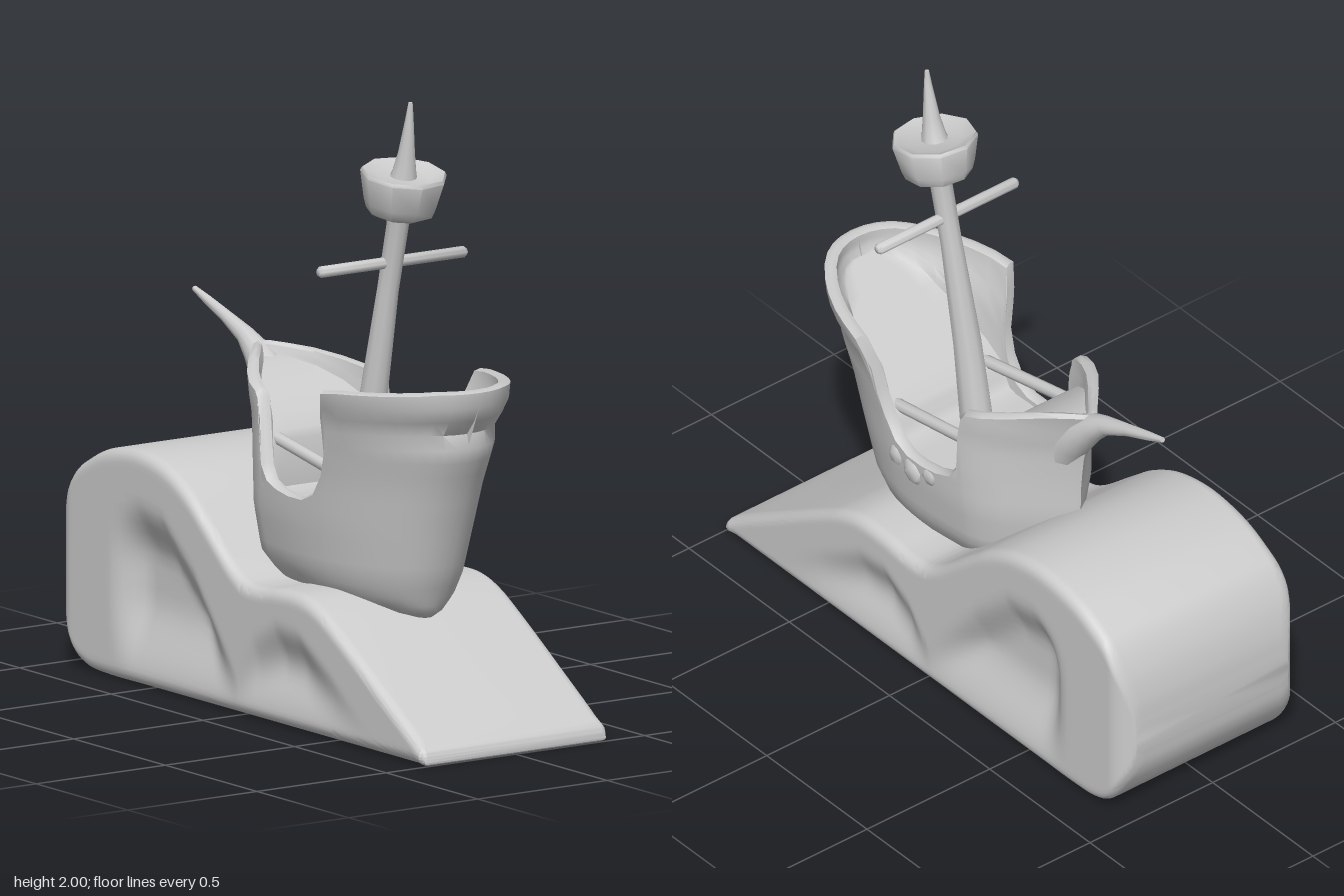
import * as THREE from 'three';
import { toCreasedNormals } from 'three/addons/utils/BufferGeometryUtils.js';

const material = new THREE.MeshStandardMaterial({ color: 0xcccccc });
const V = (x, y, z = 0) => new THREE.Vector3(x, y, z);
const step = THREE.MathUtils.smoothstep;

// Linear lookup in a table of [key, value, value...] rows
function lookup(table, key, column = 1) {
  if (key <= table[0][0]) return table[0][column];
  for (let i = 1; i < table.length; i++) {
    const a = table[i - 1], b = table[i];
    if (key <= b[0]) return a[column] + (b[column] - a[column]) * (key - a[0]) / (b[0] - a[0]);
  }
  return table[table.length - 1][column];
}

// Skin a row of closed rings, closing both ends to their middle points
function loft(rings, crease) {
  const middle = (ring) => {
    const c = V(0, 0);
    ring.forEach((p) => c.add(p));
    c.divideScalar(ring.length);
    return ring.map(() => c);
  };
  const all = [middle(rings[0]), ...rings, middle(rings[rings.length - 1])];
  const n = rings[0].length, points = all.flat(), index = [];
  for (let i = 0; i < all.length - 1; i++) {
    for (let j = 0; j < n; j++) {
      const a = i * n + j, b = i * n + (j + 1) % n;
      index.push(a, b, a + n, b, b + n, a + n);
    }
  }
  // Turn the faces outward
  let volume = 0;
  const cross = V(0, 0);
  for (let i = 0; i < index.length; i += 3) {
    volume += points[index[i]].dot(cross.crossVectors(points[index[i + 1]], points[index[i + 2]]));
  }
  if (volume < 0) index.reverse();
  const geometry = new THREE.BufferGeometry().setFromPoints(points);
  geometry.setIndex(index);
  return toCreasedNormals(geometry, crease);
}

// Round bar through [x, y, z, radius] points, bending in the xy plane
function bar(path, sides = 12) {
  const rings = path.map(([x, y, z, r], i) => {
    const a = path[Math.max(i - 1, 0)], b = path[Math.min(i + 1, path.length - 1)];
    const t = V(b[0] - a[0], b[1] - a[1], b[2] - a[2]).normalize();
    const u = Math.abs(t.z) > 0.9 ? V(1, 0) : V(-t.y, t.x).normalize();
    const w = V(0, 0).crossVectors(t, u);
    return Array.from({ length: sides }, (_, k) => {
      const angle = k / sides * Math.PI * 2;
      return V(x, y, z).addScaledVector(u, r * Math.cos(angle)).addScaledVector(w, r * Math.sin(angle));
    });
  });
  return loft(rings, 1);
}

// Breaking wave: x, bottom, top
const waveProfile = [
  [-1, 0.26, 0.36], [-0.99, 0.19, 0.45], [-0.96, 0.12, 0.55], [-0.9, 0.035, 0.645], [-0.84, 0.008, 0.685],
  [-0.74, 0, 0.73], [-0.57, 0, 0.755], [-0.42, 0, 0.73], [-0.3, 0, 0.67], [-0.2, 0, 0.59], [-0.05, 0, 0.465],
  [0.02, 0, 0.43], [0.1, 0, 0.425], [0.2, 0, 0.437], [0.33, 0, 0.437], [0.42, 0, 0.41], [0.52, 0, 0.355],
  [0.75, 0, 0.21], [0.97, 0, 0.065], [0.995, 0, 0.04], [1, 0.005, 0.02]];
// Upper edge of the two hollows in the wave's sides
const hollowEdge = [
  [-0.7, 0.52], [-0.62, 0.57], [-0.55, 0.6], [-0.42, 0.58], [-0.25, 0.43], [-0.02, 0.14],
  [0.08, 0.27], [0.2, 0.34], [0.32, 0.33], [0.5, 0.22], [0.74, 0.04]];

function waveGeometry() {
  const curve = new THREE.CatmullRomCurve3(waveProfile.map(([x, b, t]) => V(x, b, t)));
  const rings = curve.getPoints(120).map(({ x, y: low, z: high }) => {
    const side = [], rows = 32;
    const r = Math.min(0.04, (high - low) / 2);
    const corner = 0.05 * (Math.max(0, -0.92 - x) / 0.08) ** 2 + 0.01 * step(x, 0.98, 1);
    for (let k = 0; k <= rows; k++) {
      const y = low + (high - low) * (1 - Math.cos(Math.PI * k / rows)) / 2;
      const gap = Math.min(y - low, high - y, r);
      const bevel = r - Math.sqrt(Math.max(0, r * r - (r - gap) ** 2));
      const dent = 0.07 * step(lookup(hollowEdge, x) - y, 0, 0.2) * step(y, 0.02, 0.28) * step(x, -0.7, -0.57);
      side.push(V(x, y, 0.36 - corner - bevel - dent));
    }
    return [...side, ...side.map((p) => V(p.x, p.y, -p.z)).reverse()];
  });
  return loft(rings, 0.9);
}

// Hull by height: bow x, stern x, half width forward, half width aft
const hullLevels = [
  [0.36, -0.05, 0.53, 0.07, 0.07], [0.38, -0.15, 0.55, 0.14, 0.15], [0.43, -0.25, 0.57, 0.2, 0.21],
  [0.5, -0.31, 0.6, 0.235, 0.24], [0.65, -0.34, 0.645, 0.26, 0.26], [0.8, -0.345, 0.695, 0.27, 0.27],
  [0.92, -0.36, 0.745, 0.27, 0.285], [0.95, -0.37, 0.752, 0.27, 0.295], [0.99, -0.38, 0.735, 0.27, 0.3],
  [1.05, -0.4, 0.79, 0.27, 0.325], [1.09, -0.42, 0.805, 0.27, 0.335], [1.13, -0.43, 0.805, 0.27, 0.335]];
// Hull along its length: fraction from bow, rim height, deck height
const hullStations = [
  [0, 1.09, 1.06], [0.006, 1.09, 1.06], [0.025, 1.09, 1.06], [0.06, 1.085, 1.05], [0.11, 1.075, 1.03],
  [0.17, 1.055, 0.99], [0.23, 1.035, 0.94], [0.28, 1.02, 0.89], [0.295, 1.0, 0.86], [0.304, 0.79, 0.71],
  [0.34, 0.745, 0.7], [0.4, 0.725, 0.7], [0.47, 0.715, 0.7], [0.54, 0.715, 0.7], [0.595, 0.74, 0.7],
  [0.628, 0.81, 0.71], [0.641, 0.9, 0.74], [0.65, 1.02, 0.77], [0.66, 1.095, 0.79], [0.72, 1.105, 0.84],
  [0.78, 1.11, 0.88], [0.84, 1.115, 0.93], [0.89, 1.12, 0.97], [0.935, 1.125, 1.01], [0.965, 1.13, 1.03],
  [0.985, 1.13, 1.05], [0.996, 1.13, 1.06], [1, 1.13, 1.06]];

function hullGeometry() {
  const point = (t, y, inset) => {
    const [bow, stern, fore, aft] = [1, 2, 3, 4].map((c) => lookup(hullLevels, y, c));
    // Pointed at the bow, rounder at the stern
    const power = t < 0.5 ? 0.95 - 0.6 * step(t, 0.03, 0.3) : 0.35 + 0.12 * step(t, 0.6, 0.9);
    const round = Math.pow(Math.max(0, 4 * t * (1 - t)), power);
    const half = fore + (aft - fore) * step(t, 0.35, 0.6) - inset;
    return V(bow + inset + (stern - bow - 2 * inset) * t, y, half * round);
  };
  const rings = hullStations.map(([t, rim, deck]) => {
    const side = [];
    for (let k = 0; k < 10; k++) side.push(point(t, 0.36 + 0.34 * Math.pow(k / 10, 1.3), 0));
    for (let k = 0; k <= 9; k++) side.push(point(t, 0.7 + (rim - 0.7) * k / 9, 0));
    const top = point(t, rim, 0.02);
    top.y += 0.008;
    side.push(top);
    for (let k = 0; k <= 6; k++) side.push(point(t, rim + (deck - rim) * k / 6, 0.04));
    const edge = side[side.length - 1];
    for (const s of [0.66, 0.33]) side.push(V(edge.x, edge.y, edge.z * s));
    return [...side, ...side.map((p) => V(p.x, p.y, -p.z)).reverse()];
  });
  return loft(rings, 0.9);
}

export function createModel() {
  const model = new THREE.Group();
  const add = (name, geometry) => {
    const mesh = new THREE.Mesh(geometry, material);
    mesh.name = name;
    model.add(mesh);
    return mesh;
  };

  add('wave', waveGeometry());
  add('hull', hullGeometry());
  add('bowsprit', bar([
    [-0.75, 1.205, 0, 0.009], [-0.68, 1.18, 0, 0.015], [-0.58, 1.145, 0, 0.02], [-0.47, 1.1, 0, 0.031],
    [-0.41, 1.06, 0, 0.045], [-0.36, 1.015, 0, 0.058], [-0.3, 0.96, 0, 0.072], [-0.26, 0.9, 0, 0.075]]));

  // Mast, yard and spike
  add('mast', bar([[0.195, 0.68, 0.02, 0.056], [0.245, 1.0, 0.018, 0.047], [0.305, 1.38, 0, 0.036],
    [0.348, 1.6, -0.008, 0.037], [0.353, 1.65, -0.01, 0.045]], 10));
  add('yard', bar([[0.32, 1.47, -0.29, 0.012], [0.32, 1.47, -0.28, 0.019],
    [0.32, 1.47, 0.27, 0.019], [0.32, 1.47, 0.28, 0.012]]));
  add('spike', bar([[0.355, 1.7, -0.015, 0.06], [0.373, 1.765, -0.015, 0.04], [0.385, 1.83, -0.015, 0.028],
    [0.402, 1.95, -0.015, 0.013], [0.407, 1.997, -0.015, 0.007]], 10));

  // Lookout basket
  const basket = [[0, -0.075], [0.08, -0.075], [0.11, -0.06], [0.12, -0.03], [0.14, 0.06],
    [0.134, 0.071], [0.12, 0.066], [0.09, 0.055], [0, 0.058]].map(([r, y]) => new THREE.Vector2(r, y));
  const lookout = add('lookoutBasket', toCreasedNormals(new THREE.LatheGeometry(basket, 9), 0.8));
  lookout.position.set(0.357, 1.698, -0.018);
  lookout.rotation.z = -0.17;

  // Waist rails
  for (const s of [-1, 1]) {
    add(s > 0 ? 'frontRail' : 'backRail', bar([[-0.1, 0.88, 0.19 * s, 0.02], [0.37, 0.79, 0.18 * s, 0.02]], 8));
  }

  // Rough lumps on the back of the waist
  [[0.1, 0.69, 0.035], [0.18, 0.665, 0.045], [0.265, 0.68, 0.035]].forEach(([x, y, r], i) => {
    const lump = add('hullLump', new THREE.SphereGeometry(r, 7, 5));
    lump.position.set(x, y, -0.25);
    lump.scale.set(1.2, 1, 0.6);
    lump.rotation.z = i * 0.8;
  });
  return model;
}
